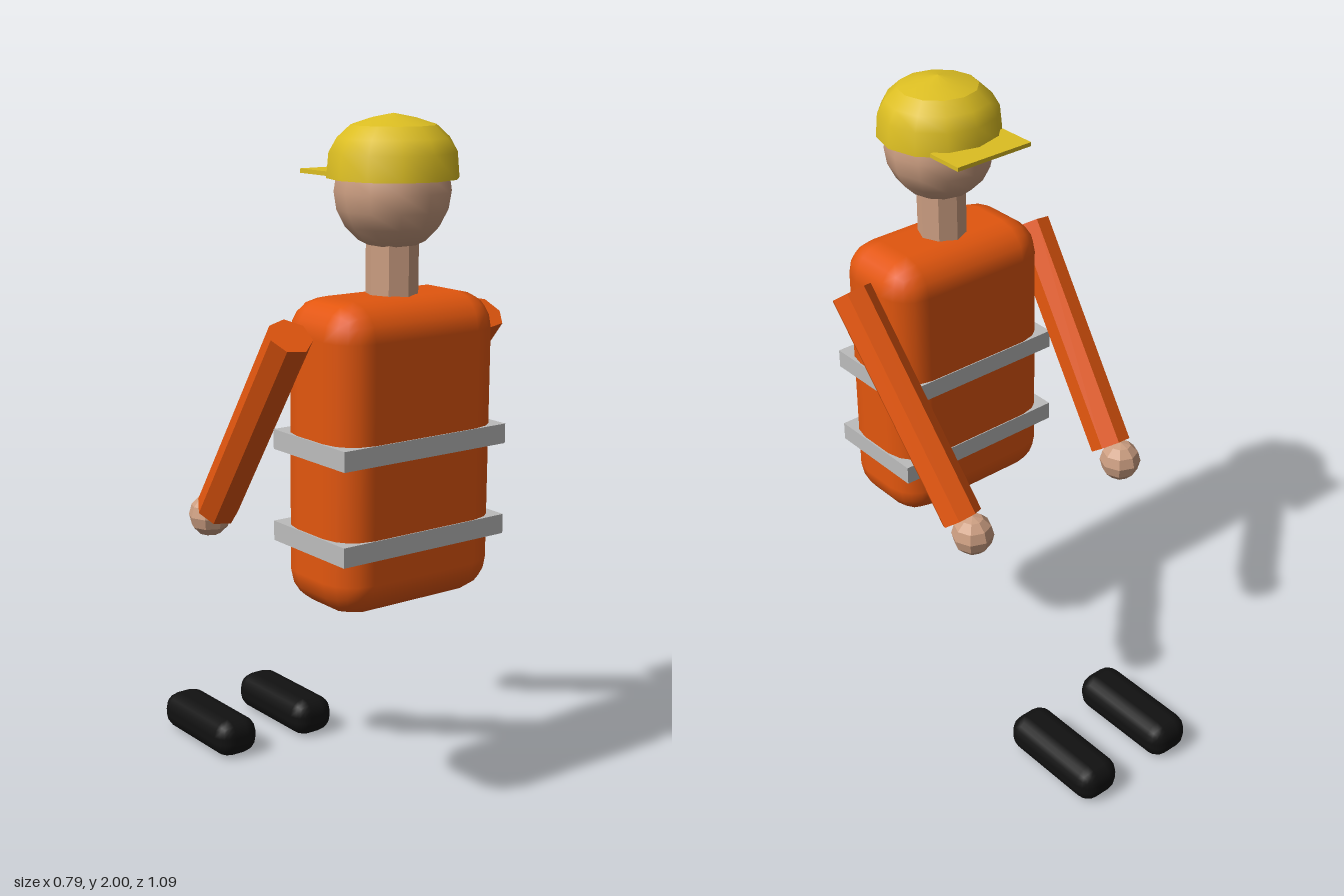
import * as THREE from 'three';
import { RoundedBoxGeometry } from 'three/addons/geometries/RoundedBoxGeometry.js';

const mat = (name, color, opts = {}) => {
  const m = new THREE.MeshStandardMaterial({ color, ...opts });
  m.name = name;
  return m;
};

export function createModel() {
  const orange = mat('safety orange', 0xe2560e, { flatShading: false });
  const skin = mat('skin', 0xcd9f82);
  const yellow = mat('cap yellow', 0xdcbe22, { side: THREE.DoubleSide });
  const silver = mat('reflective grey', 0xbcbcbc);
  const black = mat('shoe black', 0x111111);

  const model = new THREE.Group();
  model.name = 'worker';
  const bodyZ = 0.365;

  const add = (name, geometry, material, x = 0, y = 0, z = 0) => {
    const mesh = new THREE.Mesh(geometry, material);
    mesh.name = name;
    mesh.position.set(x, y, z);
    model.add(mesh);
    return mesh;
  };
  // Unshared vertices give each facet its own normal
  const faceted = (geometry) => {
    const g = geometry.toNonIndexed();
    g.computeVertexNormals();
    return g;
  };

  // Torso with two reflective bands
  add('torso', new RoundedBoxGeometry(0.55, 0.86, 0.318, 2, 0.1), orange, 0, 1.09, bodyZ);
  for (const [name, y] of [['upperBand', 1.12], ['lowerBand', 0.858]]) {
    add(name, new THREE.BoxGeometry(0.56, 0.056, 0.324), silver, 0, y, bodyZ);
  }

  // Neck and head
  add('neck', faceted(new THREE.CylinderGeometry(0.072, 0.072, 0.16, 8)), skin, 0, 1.59, bodyZ);
  add('head', new THREE.SphereGeometry(0.16, 12, 10), skin, 0, 1.795, bodyZ);

  // Cap: rounded sides, shallow crown and a flat brim
  const lathe = (pts) => new THREE.LatheGeometry(pts.map(([r, y]) => new THREE.Vector2(r, y)), 12);
  add('capSides', lathe([[0.18, 1.83], [0.174, 1.898], [0.152, 1.937], [0.116, 1.97]]), yellow, 0, 0, bodyZ);
  add('capCrown', lathe([[0.116, 1.97], [0.06, 1.988], [0, 2]]), yellow, 0, 0, bodyZ);
  add('capBrim', new THREE.BoxGeometry(0.26, 0.012, 0.122), yellow, 0, 1.838, 0.18);

  // Mirrored arms, hands and shoes
  for (const side of [1, -1]) {
    const label = side > 0 ? 'left' : 'right';
    const shoulder = new THREE.Vector3(side * 0.335, 1.435, 0.363);
    const wrist = new THREE.Vector3(side * 0.293, 0.86, -0.069);
    const axis = shoulder.clone().sub(wrist);
    const arm = add(label + 'Arm', faceted(new THREE.CylinderGeometry(
      0.0625, 0.0625, axis.length(), 7, 1, false, side * Math.PI / 2)), orange);
    arm.position.copy(shoulder).add(wrist).multiplyScalar(0.5);
    arm.quaternion.setFromUnitVectors(new THREE.Vector3(0, 1, 0), axis.normalize());

    add(label + 'Hand', faceted(new THREE.SphereGeometry(0.0625, 8, 6)), skin, side * 0.29, 0.83, -0.115);
    add(label + 'Shoe', new RoundedBoxGeometry(0.144, 0.118, 0.372, 2, 0.05), black, side * 0.145, 0.059, -0.359);
  }

  return model;
}
